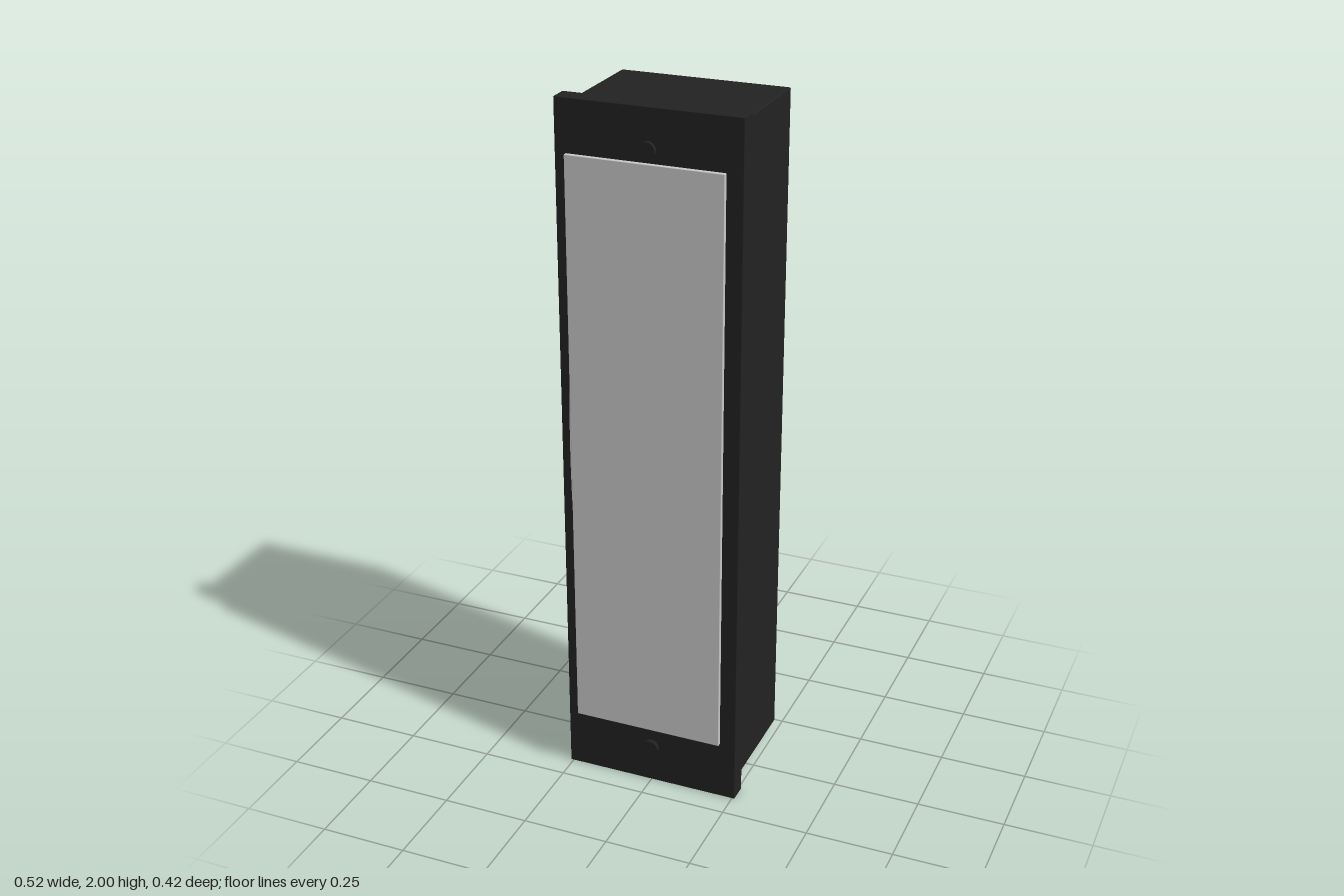
import * as THREE from 'three';
import { RoundedBoxGeometry } from 'three/addons/geometries/RoundedBoxGeometry.js';

const casing = new THREE.MeshStandardMaterial({ color: 0x222222 });
casing.name = 'black casing';
const pale = new THREE.MeshStandardMaterial({ color: 0xc9c9c9 });
pale.name = 'pale grey panel';

export function createModel() {
  const model = new THREE.Group();
  model.name = 'wallUnit';

  const add = (name, geometry, material, x, y, z) => {
    const mesh = new THREE.Mesh(geometry, material);
    mesh.name = name;
    mesh.position.set(x, y, z);
    model.add(mesh);
    return mesh;
  };
  // Box given by its lower and upper corners, with slightly softened edges
  const box = (name, material, a, b, radius) => {
    const size = b.map((v, i) => v - a[i]);
    const mid = b.map((v, i) => (v + a[i]) / 2);
    return add(name, new RoundedBoxGeometry(...size, 2, radius), material, ...mid);
  };
  // Short cylinder whose axis points forward
  const disc = (name, material, radius, z0, z1, y) => {
    const geometry = new THREE.CylinderGeometry(radius, radius, z1 - z0, 24).rotateX(Math.PI / 2);
    return add(name, geometry, material, 0, y, (z0 + z1) / 2);
  };

  // Deep rear housing and the wider front flange
  box('housing', casing, [-0.24, 0.027, -0.208], [0.24, 1.978, 0.13], 0.004);
  box('frontFlange', casing, [-0.258, 0, 0.123], [0.258, 2, 0.178], 0.002);

  // Floating front panel
  box('frontPanel', pale, [-0.219, 0.188, 0.194], [0.218, 1.861, 0.207], 0.002);

  // Fixing screws above and below the panel, and hidden panel standoffs
  for (const y of [0.113, 1.89]) disc('screw', casing, 0.023, 0.176, 0.19, y);
  for (const y of [0.4, 1.65]) disc('panelStandoff', pale, 0.015, 0.176, 0.196, y);

  // Thin bowed strip that peeks out beside the panel
  const bow = new THREE.Shape();
  bow.moveTo(-0.2, 0.6);
  bow.lineTo(-0.2, 1.46);
  bow.lineTo(-0.219, 1.46);
  bow.quadraticCurveTo(-0.25, 1.03, -0.219, 0.6);
  const strip = new THREE.ExtrudeGeometry(bow, { depth: 0.003, bevelEnabled: false });
  add('bowedStrip', strip, pale, 0, 0, 0.177);

  return model;
}
